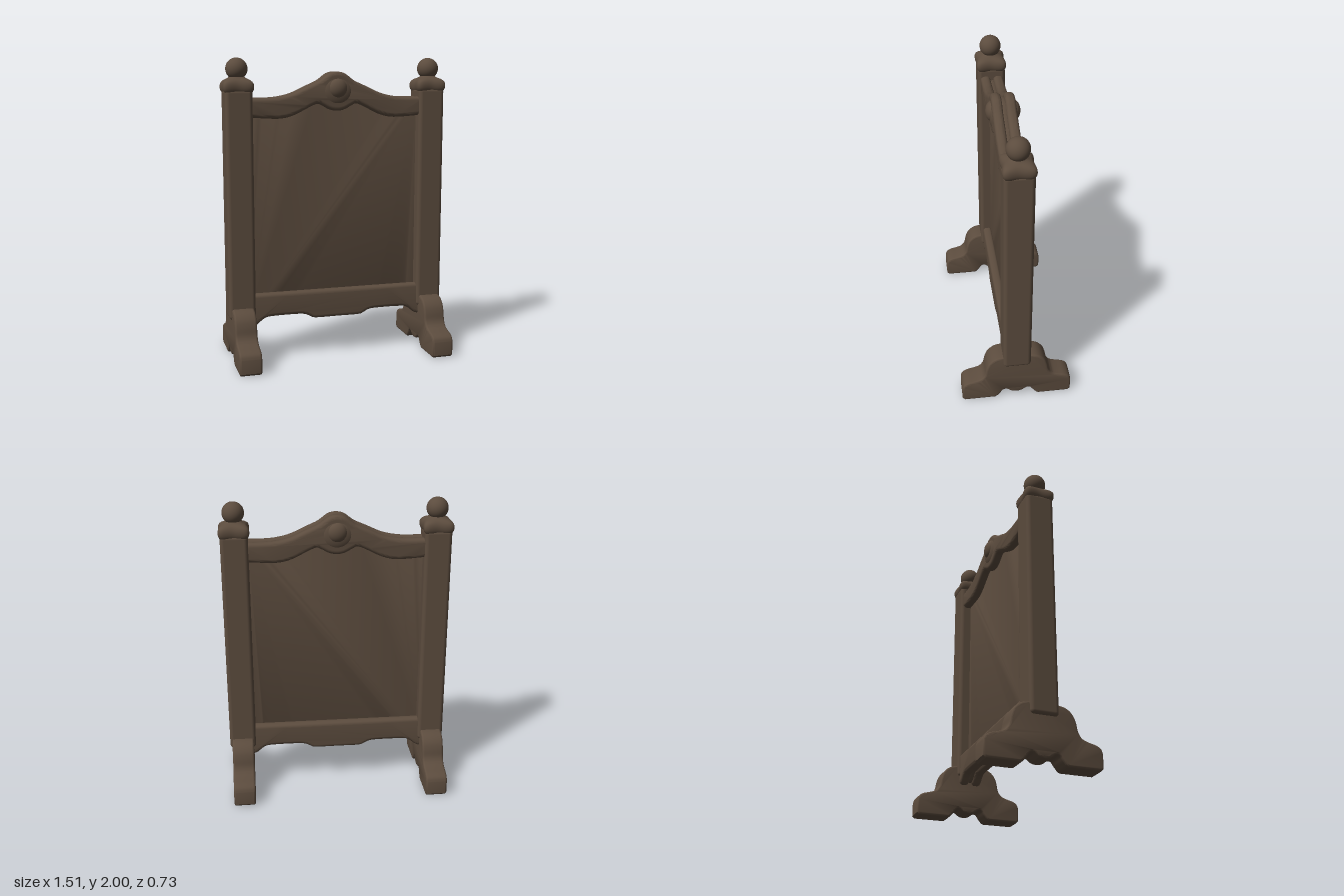
import * as THREE from 'three';
import { toCreasedNormals, mergeVertices } from 'three/addons/utils/BufferGeometryUtils.js';
import { RoundedBoxGeometry } from 'three/addons/geometries/RoundedBoxGeometry.js';

const POST_X = 0.655;

// Smooth curve through half a profile (x from 0 outwards), mirrored to both sides, left to right.
function mirroredCurve(half, n = 72) {
  const pts = half.map(([x, y]) => new THREE.Vector2(x, y));
  const left = pts.slice(1).reverse().map(p => new THREE.Vector2(-p.x, p.y));
  return new THREE.SplineCurve([...left, ...pts]).getPoints(n);
}

// Outline between two curves, extruded between z0 and z1 with rounded edges.
function slab(top, bottom, z0, z1, bevel) {
  const shape = new THREE.Shape([...bottom, ...top.slice().reverse()]);
  const geo = new THREE.ExtrudeGeometry(shape, {
    depth: z1 - z0 - 2 * bevel, bevelEnabled: true, bevelSize: bevel,
    bevelThickness: bevel, bevelOffset: -bevel, bevelSegments: 5,
  });
  geo.translate(0, 0, z0 + bevel);
  return toCreasedNormals(geo, 0.7);
}

// Lathe squared off into a four-cornered cap that becomes round at the neck.
function capGeometry() {
  const profile = [[0.08, 1.755], [0.086, 1.772], [0.098, 1.795], [0.101, 1.82],
    [0.095, 1.842], [0.08, 1.858], [0.062, 1.868], [0.048, 1.88], [0.04, 1.9]];
  let geo = new THREE.LatheGeometry(
    new THREE.SplineCurve(profile.map(p => new THREE.Vector2(...p))).getPoints(24), 64);
  geo.deleteAttribute('normal');
  geo.deleteAttribute('uv');
  geo = mergeVertices(geo);
  const pos = geo.attributes.position;
  for (let i = 0; i < pos.count; i++) {
    const x = pos.getX(i), y = pos.getY(i), z = pos.getZ(i);
    const r = Math.hypot(x, z), c = Math.abs(x / r), s = Math.abs(z / r);
    const square = 1 - THREE.MathUtils.smoothstep(y, 1.84, 1.88);
    const n = 2 + 6 * square;
    const pinch = 1 - 0.08 * square * (c * c - s * s) ** 2;
    const k = pinch / Math.pow(c ** n + s ** n, 1 / n);
    pos.setXYZ(i, x * k, y, z * k);
  }
  geo.computeVertexNormals();
  return geo;
}

export function createModel() {
  const model = new THREE.Group();
  model.name = 'firescreen';
  const wood = new THREE.MeshStandardMaterial({ color: 0x5c4c3e });
  wood.name = 'dark wood';
  const add = (name, geo, x = 0, y = 0, z = 0, parent = model) => {
    const mesh = new THREE.Mesh(geo, wood);
    mesh.name = name;
    mesh.position.set(x, y, z);
    parent.add(mesh);
    return mesh;
  };

  // Top and bottom edges of the frame
  const crest = [[0, 1.91], [0.05, 1.9], [0.095, 1.868], [0.125, 1.848], [0.2, 1.815],
    [0.3, 1.77], [0.4, 1.748], [0.5, 1.743], [0.61, 1.745]];
  const crestUnder = [[0, 1.655], [0.05, 1.664], [0.1, 1.69], [0.135, 1.702], [0.2, 1.675],
    [0.28, 1.635], [0.36, 1.612], [0.45, 1.61], [0.61, 1.622]];
  const apron = [[0, 0.257], [0.15, 0.257], [0.19, 0.27], [0.23, 0.288], [0.3, 0.293],
    [0.46, 0.291], [0.51, 0.278], [0.555, 0.243], [0.585, 0.232], [0.61, 0.232]];
  const railTop = [[0, 0.45], [0.3, 0.45], [0.61, 0.45]];
  const shifted = (half, d) => half.map(([x, y]) => [x, y + d]);

  // Thin panel held between the paired rails
  add('panel', slab(mirroredCurve(shifted(crest, -0.03)), mirroredCurve(shifted(apron, 0.02)),
    -0.018, 0.018, 0.003));

  // Matching rails on the front and back
  for (const [side, z0, z1] of [['front', 0.01, 0.076], ['back', -0.076, -0.01]]) {
    const s = Math.sign(z1 + z0);
    add(side + 'TopRail', slab(mirroredCurve(crest), mirroredCurve(crestUnder), z0, z1, 0.026));
    add(side + 'BottomRail', slab(mirroredCurve(railTop, 24), mirroredCurve(apron), z0, z1, 0.024));

    // Carved boss in the middle of the crest
    const swell = add(side + 'CrestSwell', new THREE.SphereGeometry(1, 40, 24), 0, 1.785, s * 0.055);
    swell.scale.set(0.108, 0.098, 0.036);
    const boss = add(side + 'CrestBoss', new THREE.SphereGeometry(1, 32, 20), 0, 1.8, s * 0.06);
    boss.scale.set(0.068, 0.068, 0.05);
  }

  // Foot outline: half profile of the top (z, y) and of the underside
  const footTop = [[0, 0.368], [0.1, 0.366], [0.15, 0.35], [0.185, 0.315], [0.203, 0.27],
    [0.215, 0.215], [0.24, 0.18], [0.28, 0.164], [0.325, 0.152], [0.355, 0.133], [0.367, 0.105]];
  const footUnder = [[0, 0.035], [0.035, 0.042], [0.065, 0.063], [0.09, 0.062],
    [0.11, 0.035], [0.13, 0.01]];
  const footEnd = [[0.145, 0], [0.352, 0], [0.367, 0.015]];
  const under = [
    ...footEnd.slice().reverse().map(([x, y]) => new THREE.Vector2(-x, y)),
    ...mirroredCurve(footUnder, 40),
    ...footEnd.map(p => new THREE.Vector2(...p)),
  ];
  const footGeo = slab(mirroredCurve(footTop, 80), under, -0.073, 0.073, 0.014);
  footGeo.rotateY(Math.PI / 2);

  // Posts with cap, ball and foot on each side
  const postGeo = new RoundedBoxGeometry(0.178, 1.51, 0.184, 5, 0.026);
  const capGeo = capGeometry();
  const ballGeo = new THREE.SphereGeometry(0.071, 40, 28);
  for (const [side, s] of [['left', 1], ['right', -1]]) {
    const upright = new THREE.Group();
    upright.name = side + 'Upright';
    upright.position.x = s * POST_X;
    model.add(upright);
    add(side + 'Post', postGeo, 0, 1.045, 0, upright);
    add(side + 'Cap', capGeo, 0, 0, 0, upright);
    add(side + 'FinialBall', ballGeo, 0, 1.929, 0, upright);
    add(side + 'Foot', footGeo, 0, 0, 0, upright);
  }
  return model;
}
